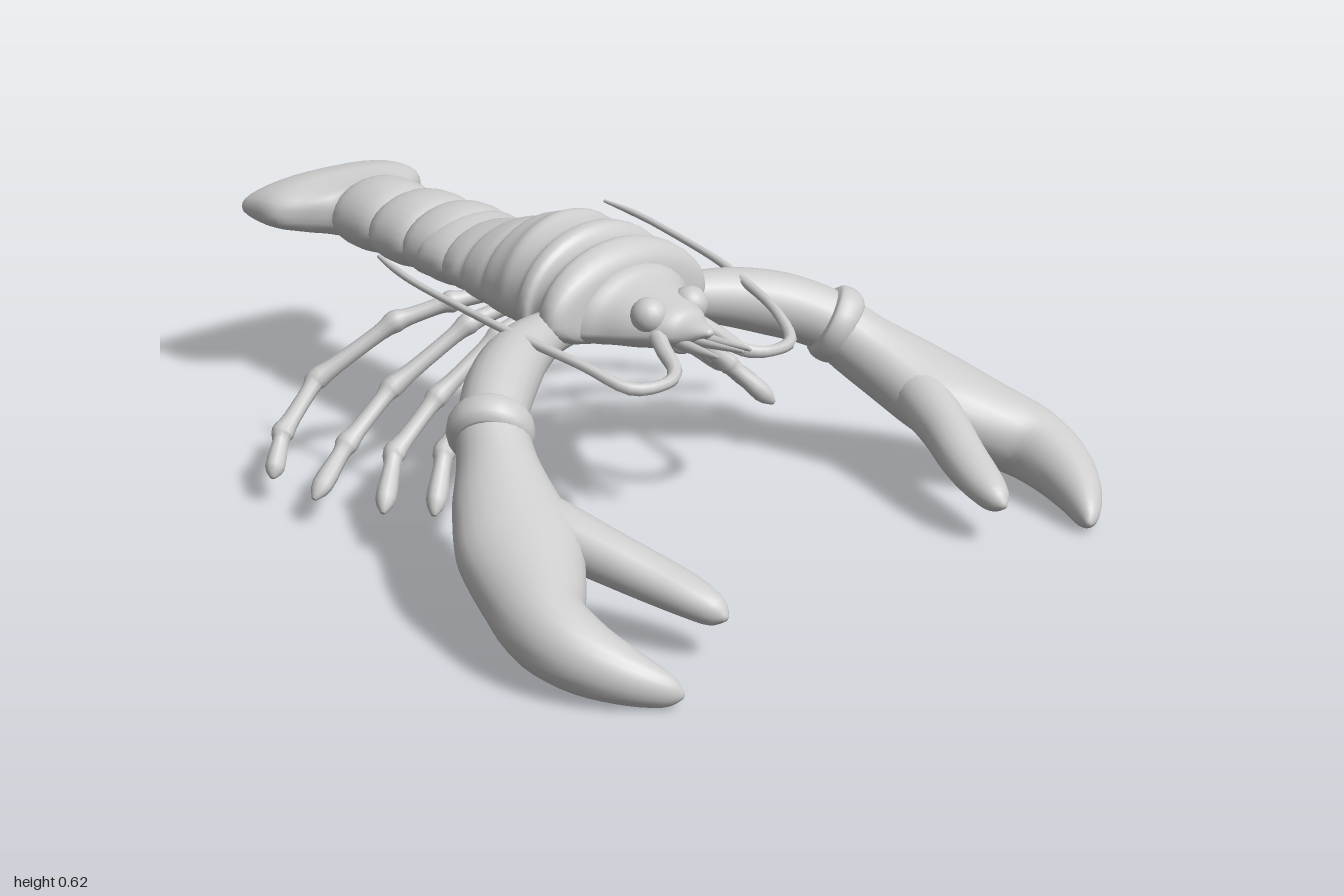
import * as THREE from 'three';

const shell = new THREE.MeshStandardMaterial({ color: 0xcccccc });
shell.name = 'shell grey';

// Smooth interpolation through rows of numbers
function resample(rows, steps) {
  const out = [], n = rows.length;
  for (let i = 0; i < n - 1; i++) {
    const a = rows[Math.max(i - 1, 0)], b = rows[i], c = rows[i + 1], d = rows[Math.min(i + 2, n - 1)];
    for (let s = 0; s < steps; s++) {
      const t = s / steps;
      out.push(b.map((_, k) => 0.5 * (2 * b[k] + (c[k] - a[k]) * t
        + (2 * a[k] - 5 * b[k] + 4 * c[k] - d[k]) * t * t
        + (3 * b[k] - a[k] - 3 * c[k] + d[k]) * t * t * t)));
    }
  }
  out.push(rows[n - 1]);
  return out;
}

// Skin over cross-sections: [x, y, z, half width, height above, depth below]
function loft(name, rows, { steps = 4, sides = 20, power = 1 } = {}) {
  const full = rows.map(([x, y, z, w, u = w, d = u]) => [x, y, z, w, u, d]);
  const secs = resample(full, steps), pos = [], idx = [];
  const at = i => new THREE.Vector3(...secs[Math.min(Math.max(i, 0), secs.length - 1)].slice(0, 3));
  const Y = new THREE.Vector3(0, 1, 0);
  const bend = v => Math.sign(v) * Math.abs(v) ** power;
  secs.forEach((s, i) => {
    const t = at(i + 1).sub(at(i - 1)).normalize();
    const side = new THREE.Vector3().crossVectors(Y, t).normalize();
    const up = new THREE.Vector3().crossVectors(t, side);
    for (let j = 0; j < sides; j++) {
      const a = (j / sides) * Math.PI * 2, sn = bend(Math.sin(a));
      const p = at(i)
        .addScaledVector(side, bend(Math.cos(a)) * Math.max(s[3], 0.001))
        .addScaledVector(up, sn * Math.max(sn > 0 ? s[4] : s[5], 0.001));
      pos.push(p.x, p.y, p.z);
    }
  });
  for (let i = 0; i < secs.length - 1; i++) for (let j = 0; j < sides; j++) {
    const a = i * sides + j, b = i * sides + (j + 1) % sides;
    idx.push(a, b, a + sides, b, b + sides, a + sides);
  }
  // End caps
  const last = (secs.length - 1) * sides, c0 = secs.length * sides;
  pos.push(...at(0).toArray(), ...at(secs.length - 1).toArray());
  for (let j = 0; j < sides; j++) {
    const k = (j + 1) % sides;
    idx.push(c0, k, j, c0 + 1, last + j, last + k);
  }
  const g = new THREE.BufferGeometry();
  g.setAttribute('position', new THREE.Float32BufferAttribute(pos, 3));
  g.setIndex(idx);
  g.computeVertexNormals();
  const m = new THREE.Mesh(g, shell);
  m.name = name;
  return m;
}

// Body section from z, half width, top, widest level and bottom
const bodyRow = ([z, w, top, mid, bot]) => [0, mid, z, w, top - mid, mid - bot];

// Jointed leg: thick at the knees, thin between them, pointed at the tip
function leg(name, joints) {
  const rows = [];
  joints.forEach(([x, y, z], i) => {
    const end = i === joints.length - 1;
    if (i > 0) {
      const p = joints[i - 1], mix = (t, r) =>
        rows.push([p[0] + (x - p[0]) * t, p[1] + (y - p[1]) * t, p[2] + (z - p[2]) * t, r]);
      mix(0.2, 0.019);
      mix(0.75, end ? 0.023 : 0.02);
    }
    rows.push([x, y, z, end ? 0.006 : 0.026]);
  });
  return loft(name, rows, { steps: 3, sides: 10 });
}

function buildSide(s) {
  const g = new THREE.Group();
  g.name = s > 0 ? 'leftLimbs' : 'rightLimbs';
  const flip = rows => rows.map(([x, ...r]) => [x * s, ...r]);
  const add = (name, rows, opt) => g.add(loft(name, flip(rows), opt));

  // Claw arm with a raised wrist ring
  add('clawArm', [[0.1, 0.41, 0.1, 0.04], [0.2, 0.415, 0.125, 0.052], [0.3, 0.405, 0.165, 0.066],
    [0.39, 0.385, 0.22, 0.074], [0.46, 0.36, 0.275, 0.073], [0.52, 0.325, 0.335, 0.07]]);
  add('wristRing', [[0.483, 0.348, 0.296, 0.066], [0.492, 0.342, 0.304, 0.085], [0.508, 0.332, 0.321, 0.091],
    [0.523, 0.323, 0.337, 0.085], [0.532, 0.317, 0.346, 0.066]]);

  // Pincer: palm running into the large curved finger, and the thumb
  add('clawPalm', [[0.505, 0.33, 0.32, 0.075], [0.54, 0.285, 0.38, 0.083, 0.08], [0.585, 0.235, 0.46, 0.108, 0.086],
    [0.625, 0.187, 0.55, 0.128, 0.09], [0.672, 0.145, 0.64, 0.11, 0.09], [0.712, 0.112, 0.73, 0.086, 0.086],
    [0.705, 0.085, 0.82, 0.074, 0.074], [0.668, 0.06, 0.905, 0.054, 0.055], [0.62, 0.038, 0.97, 0.028, 0.033],
    [0.598, 0.03, 0.992, 0.006]], { sides: 24 });
  add('clawThumb', [[0.575, 0.235, 0.46, 0.05, 0.06], [0.545, 0.205, 0.56, 0.062, 0.062],
    [0.505, 0.175, 0.66, 0.056, 0.055], [0.463, 0.145, 0.75, 0.053, 0.048], [0.432, 0.122, 0.83, 0.047, 0.04],
    [0.416, 0.105, 0.885, 0.031, 0.03], [0.412, 0.098, 0.912, 0.006]]);

  // Four walking legs
  [
    [[0.12, 0.41, 0.06], [0.2, 0.38, 0.045], [0.32, 0.275, 0.035], [0.425, 0.185, 0.06], [0.51, 0.085, 0.13]],
    [[0.12, 0.41, -0.02], [0.2, 0.375, -0.03], [0.35, 0.26, -0.058], [0.48, 0.165, -0.045], [0.57, 0.075, 0.03]],
    [[0.1, 0.41, -0.1], [0.2, 0.375, -0.135], [0.375, 0.25, -0.19], [0.51, 0.155, -0.178], [0.63, 0.07, -0.138]],
    [[0.08, 0.41, -0.19], [0.17, 0.395, -0.235], [0.28, 0.355, -0.3], [0.445, 0.235, -0.378],
      [0.565, 0.145, -0.345], [0.63, 0.07, -0.295]],
  ].forEach((j, i) => g.add(leg('walkingLeg' + (i + 1), flip(j))));

  // Long swept-back antenna and two short feelers
  add('antenna', [[0.06, 0.44, 0.33, 0.02], [0.08, 0.42, 0.375, 0.018], [0.1, 0.395, 0.43, 0.016],
    [0.155, 0.387, 0.46, 0.013], [0.235, 0.39, 0.44, 0.014], [0.28, 0.425, 0.345, 0.011], [0.312, 0.45, 0.22, 0.011],
    [0.335, 0.472, 0.1, 0.009], [0.35, 0.5, -0.1, 0.008], [0.347, 0.515, -0.2, 0.008], [0.335, 0.526, -0.28, 0.004]],
  { sides: 8 });
  add('innerFeeler', [[0.012, 0.43, 0.37, 0.012], [0.012, 0.435, 0.44, 0.009], [0.01, 0.445, 0.54, 0.004]], { sides: 8 });
  add('outerFeeler', [[0.03, 0.425, 0.37, 0.013], [0.036, 0.425, 0.43, 0.011], [0.045, 0.43, 0.5, 0.004]], { sides: 8 });

  // Eye
  const eye = new THREE.Mesh(new THREE.SphereGeometry(0.04, 20, 14), shell);
  eye.name = 'eye';
  eye.position.set(0.06 * s, 0.475, 0.305);
  g.add(eye);
  return g;
}

export function createModel() {
  const root = new THREE.Group();
  root.name = 'lobster';

  // Carapace, its bands growing smaller towards the tail
  root.add(loft('carapace', [
    [-0.31, 0.12, 0.525, 0.45, 0.4], [-0.3, 0.143, 0.54, 0.45, 0.39], [-0.25, 0.158, 0.55, 0.45, 0.385],
    [-0.215, 0.155, 0.555, 0.45, 0.382], [-0.2, 0.165, 0.567, 0.45, 0.38], [-0.15, 0.172, 0.58, 0.45, 0.375],
    [-0.12, 0.172, 0.582, 0.45, 0.37], [-0.105, 0.18, 0.6, 0.45, 0.37], [-0.06, 0.186, 0.612, 0.45, 0.365],
    [-0.03, 0.192, 0.624, 0.45, 0.365], [0, 0.192, 0.614, 0.45, 0.362], [0.035, 0.196, 0.607, 0.45, 0.362],
    [0.05, 0.212, 0.616, 0.45, 0.362], [0.075, 0.214, 0.614, 0.45, 0.362], [0.09, 0.203, 0.598, 0.45, 0.362],
    [0.12, 0.206, 0.59, 0.45, 0.364], [0.14, 0.226, 0.598, 0.45, 0.37], [0.175, 0.23, 0.583, 0.45, 0.38],
    [0.195, 0.2, 0.55, 0.45, 0.39], [0.2, 0.12, 0.5, 0.45, 0.4],
  ].map(bodyRow), { sides: 36, steps: 3 }));

  // Head narrowing to the pointed beak
  root.add(loft('head', [
    [0.14, 0.18, 0.55, 0.43, 0.38], [0.19, 0.165, 0.55, 0.43, 0.38], [0.23, 0.135, 0.535, 0.43, 0.385],
    [0.28, 0.11, 0.517, 0.435, 0.39], [0.33, 0.08, 0.5, 0.44, 0.4], [0.37, 0.052, 0.483, 0.44, 0.41],
    [0.405, 0.03, 0.472, 0.45, 0.43], [0.435, 0.008, 0.462, 0.455, 0.45],
  ].map(bodyRow), { sides: 28 }));

  // Rounded tail segments
  [[-0.345, 0.13, 0.15], [-0.405, 0.14, 0.142], [-0.537, 0.155, 0.136], [-0.69, 0.175, 0.126]].forEach(([z, len, w], i) => {
    const h = len / 2, k = i ? 1 : 0.98;
    root.add(loft('tailSegment' + (i + 1), [
      [z - h - 0.02, w * 0.72, 0.525, 0.455, 0.402], [z - h, w * 0.86, 0.535, 0.455, 0.395],
      [z - h * 0.6, w * 0.98, 0.552 * k, 0.455, 0.382], [z, w, 0.557 * k, 0.455, 0.376],
      [z + h * 0.6, w * 0.97, 0.55 * k, 0.455, 0.382], [z + h, w * 0.85, 0.533, 0.455, 0.395],
      [z + h + 0.02, w * 0.7, 0.52, 0.455, 0.402],
    ].map(bodyRow), { sides: 28, steps: 3 }));
  });

  // Broad tail fan
  root.add(loft('tailFan', [
    [-1, 0.19, 0.475, 0.465, 0.455], [-0.995, 0.215, 0.494, 0.465, 0.438], [-0.975, 0.233, 0.515, 0.465, 0.422],
    [-0.93, 0.236, 0.536, 0.467, 0.407], [-0.88, 0.234, 0.542, 0.468, 0.405], [-0.845, 0.218, 0.537, 0.467, 0.406],
    [-0.81, 0.175, 0.532, 0.465, 0.402], [-0.775, 0.125, 0.53, 0.46, 0.398], [-0.74, 0.1, 0.525, 0.46, 0.4],
  ].map(bodyRow), { sides: 36, power: 0.8 }));

  root.add(buildSide(1), buildSide(-1));
  return root;
}
